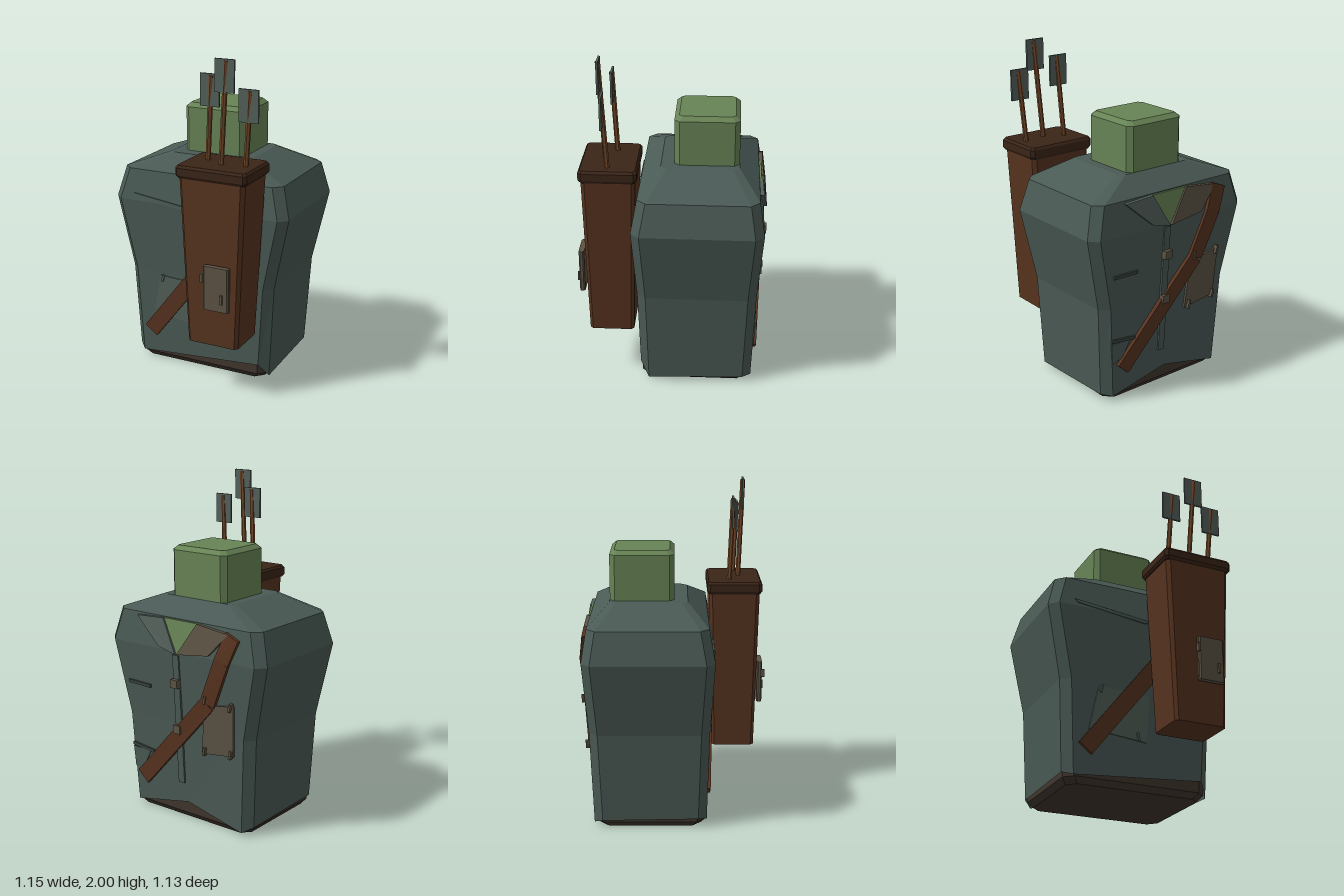
import * as THREE from 'three';

const mat = (color) => new THREE.MeshStandardMaterial({ color, flatShading: true, side: THREE.DoubleSide });
const M = {
  coat: mat(0x4a5a55), green: mat(0x688456), leather: mat(0x57331f), dark: mat(0x3b2518),
  base: mat(0x40352d), patch: mat(0x53605a), tan: mat(0x5c5344), wood: mat(0x764a2a), slit: mat(0x39433f),
};

// Chamfered rectangle with a middle point on the front and back edges.
function ring(y, hx, z0, z1, c) {
  const pts = [[hx, z1 - c], [hx - c, z1], [0, z1], [-hx + c, z1], [-hx, z1 - c],
    [-hx, z0 + c], [-hx + c, z0], [0, z0], [hx - c, z0], [hx, z0 + c]];
  return pts.map(([x, z], i) => [x, Array.isArray(y) ? y[i] : y, z]);
}

// Skin between rings, closed at the ends.
function loft(rings, openBottom = false) {
  const n = rings[0].length, idx = [];
  for (let r = 0; r < rings.length - 1; r++) {
    for (let i = 0; i < n; i++) {
      const a = r * n + i, b = r * n + (i + 1) % n;
      idx.push(a, a + n, b, b, a + n, b + n);
    }
  }
  const t = (rings.length - 1) * n;
  for (let i = 1; i < n - 1; i++) {
    idx.push(t, t + i + 1, t + i);
    if (!openBottom) idx.push(0, i, i + 1);
  }
  const g = new THREE.BufferGeometry();
  g.setAttribute('position', new THREE.Float32BufferAttribute(rings.flat(2), 3));
  g.setIndex(idx);
  g.computeVertexNormals();
  return g;
}

// Coat profile: height, half width, back z, front z.
const PROFILE = [[0.03, 0.45, -0.49, 0.185], [0.6, 0.48, -0.51, 0.2], [1.05, 0.575, -0.54, 0.225],
  [1.24, 0.525, -0.51, 0.19], [1.34, 0.26, -0.39, 0.07]];
function surfaceZ(y, back) {
  const k = back ? 2 : 3;
  let i = 0;
  while (i < PROFILE.length - 2 && y > PROFILE[i + 1][0]) i++;
  const a = PROFILE[i], b = PROFILE[i + 1];
  return a[k] + (b[k] - a[k]) * (y - a[0]) / (b[0] - a[0]);
}

export function createModel() {
  const model = new THREE.Group();
  const add = (name, geo, m, parent = model) => {
    const mesh = new THREE.Mesh(geo, m);
    mesh.name = name;
    parent.add(mesh);
    return mesh;
  };
  const box = (name, w, h, d, x, y, z, m, parent) => {
    const mesh = add(name, new THREE.BoxGeometry(w, h, d), m, parent);
    mesh.position.set(x, y, z);
    return mesh;
  };
  // Thin panel following the slope of the coat's front or back.
  const panel = (name, pts, back, t, m) => {
    const shape = new THREE.Shape(pts.map(([x, y]) => new THREE.Vector2(x, y)));
    const g = new THREE.ExtrudeGeometry(shape, { depth: t + 0.012, bevelEnabled: false });
    const p = g.attributes.position;
    for (let i = 0; i < p.count; i++) {
      p.setZ(i, surfaceZ(p.getY(i), back) + p.getZ(i) - (back ? t : 0.012));
    }
    g.computeVertexNormals();
    return add(name, g, m);
  };
  const bar = (name, x0, y0, x1, y1, w, back, t, m) => {
    const l = Math.hypot(x1 - x0, y1 - y0), nx = -(y1 - y0) / l * w / 2, ny = (x1 - x0) / l * w / 2;
    return panel(name, [[x0 + nx, y0 + ny], [x1 + nx, y1 + ny], [x1 - nx, y1 - ny], [x0 - nx, y0 - ny]], back, t, m);
  };

  // Coat with an uneven hem over the dark base
  const hem = [0.02, 0.1, 0.07, 0.04, 0.06, 0.05, 0.02, 0.11, 0.03, 0.04];
  add('coat', loft(PROFILE.map(([y, hx, z0, z1], i) => ring(i ? y : hem, hx, z0, z1, i === 4 ? 0.035 : 0.052)), true), M.coat);
  add('base', loft([ring(0, 0.41, -0.455, 0.15, 0.05), ring(0.035, 0.438, -0.48, 0.175, 0.05),
    ring(0.14, 0.44, -0.48, 0.175, 0.05)]), M.base);

  // Neck block
  add('neckBlock', loft([ring(1.32, 0.2, -0.39, -0.008, 0.03), ring(1.61, 0.2, -0.39, -0.008, 0.03),
    ring(1.635, 0.172, -0.362, -0.036, 0.02)]), M.green);

  // Quiver with rim
  const quiver = new THREE.Group();
  quiver.name = 'quiver';
  model.add(quiver);
  const shift = (rings) => rings.map((r) => r.map(([x, y, z]) => [x + 0.24, y, z]));
  add('quiverBody', loft(shift([ring(0.33, 0.16, 0.225, 0.492, 0.018), ring(1.36, 0.207, 0.2, 0.512, 0.022)])), M.leather, quiver);
  add('quiverRim', loft(shift([ring(1.325, 0.21, 0.2, 0.514, 0.015), ring(1.342, 0.222, 0.19, 0.525, 0.018),
    ring(1.385, 0.222, 0.19, 0.525, 0.018), ring(1.4, 0.21, 0.2, 0.514, 0.015)])), M.dark, quiver);
  const plate = [[0.575, 0.08], [0.84, 0.08]].map(([y, hx]) => ring(y, hx, 0.518, 0.55, 0.008));
  add('quiverPatch', loft(plate), M.tan, quiver).position.x = 0.29;
  box('quiverStitch', 0.015, 0.05, 0.025, 0.205, 0.768, 0.552, M.tan, quiver);
  box('quiverStitch', 0.015, 0.055, 0.025, 0.33, 0.655, 0.552, M.tan, quiver);

  // Arrows: foot x, foot z, fletching x, fletching z, top height
  for (const [x0, z0, x1, z1, top] of [[0.13, 0.325, 0.155, 0.347, 1.9], [0.243, 0.385, 0.277, 0.41, 2], [0.385, 0.36, 0.41, 0.382, 1.84]]) {
    const arrow = new THREE.Group();
    arrow.name = 'arrow';
    const a = new THREE.Vector3(x0, 1.36, z0), b = new THREE.Vector3(x1 + 0.008, top - 0.01, z1);
    const shaft = add('shaft', new THREE.CylinderGeometry(0.015, 0.015, a.distanceTo(b), 6), M.wood, arrow);
    shaft.position.copy(a).lerp(b, 0.5);
    shaft.quaternion.setFromUnitVectors(new THREE.Vector3(0, 1, 0), b.clone().sub(a).normalize());
    box('fletching', 0.12, 0.186, 0.012, x1, top - 0.093, z1, M.patch, arrow);
    model.add(arrow);
  }

  // Front strap, patch and crease
  bar('frontStrap', -0.335, 0.195, 0.22, 0.91, 0.1, false, 0.018, M.leather);
  panel('frontPatch', [[-0.26, 0.58], [0.06, 0.56], [0.045, 0.28], [-0.315, 0.315]], false, 0.006, M.patch);
  bar('frontStitch', -0.25, 0.54, -0.237, 0.585, 0.014, false, 0.014, M.patch);
  bar('frontStitch', -0.015, 0.33, -0.005, 0.285, 0.014, false, 0.014, M.patch);
  panel('crease', [[-0.425, 1.095], [-0.405, 1.072], [0.02, 1.02], [0.08, 1.03], [0, 1.045]], false, 0.007, M.coat);

  // Back collar: undershirt and lapels
  panel('undershirt', [[0.16, 1.235], [-0.13, 1.235], [0.035, 1.03]], true, 0.012, M.green);
  panel('lapel', [[0.34, 1.225], [0.14, 1.235], [0.03, 1.04], [0.16, 1.07]], true, 0.022, M.patch);
  panel('lapel', [[-0.34, 1.21], [-0.11, 1.235], [0.02, 1.04], [-0.21, 1.07]], true, 0.022, M.tan);

  // Back strap in three runs
  const path = [[0.34, 0.2], [-0.19, 0.78], [-0.305, 1.05], [-0.365, 1.2]];
  for (let i = 0; i < 3; i++) {
    bar('backStrap', ...path[i], ...path[i + 1], 0.1, true, 0.022, M.leather);
  }

  // Button strip, buttons and pocket slits
  bar('buttonStrip', 0.04, 0.23, 0.04, 1.03, 0.045, true, 0.008, M.coat);
  for (const y of [0.86, 0.575]) box('button', 0.05, 0.05, 0.035, 0.04, y, surfaceZ(y, true) - 0.02, M.tan);
  bar('slit', 0.25, 0.8, 0.42, 0.805, 0.02, true, 0.012, M.slit);
  bar('slit', 0.25, 0.38, 0.42, 0.4, 0.02, true, 0.012, M.slit);
  panel('pocket', [[0.42, 0.38], [0.28, 0.375], [0.34, 0.27], [0.41, 0.25]], true, 0.006, M.coat);

  // Back patch with stitches
  panel('backPatch', [[-0.16, 0.76], [-0.375, 0.8], [-0.36, 0.49], [-0.13, 0.46]], true, 0.012, M.tan);
  for (const [x, y] of [[-0.17, 0.8], [-0.35, 0.79], [-0.34, 0.5], [-0.15, 0.48]]) {
    bar('backStitch', x, y - 0.025, x - 0.012, y + 0.025, 0.014, true, 0.03, M.tan);
  }
  return model;
}
